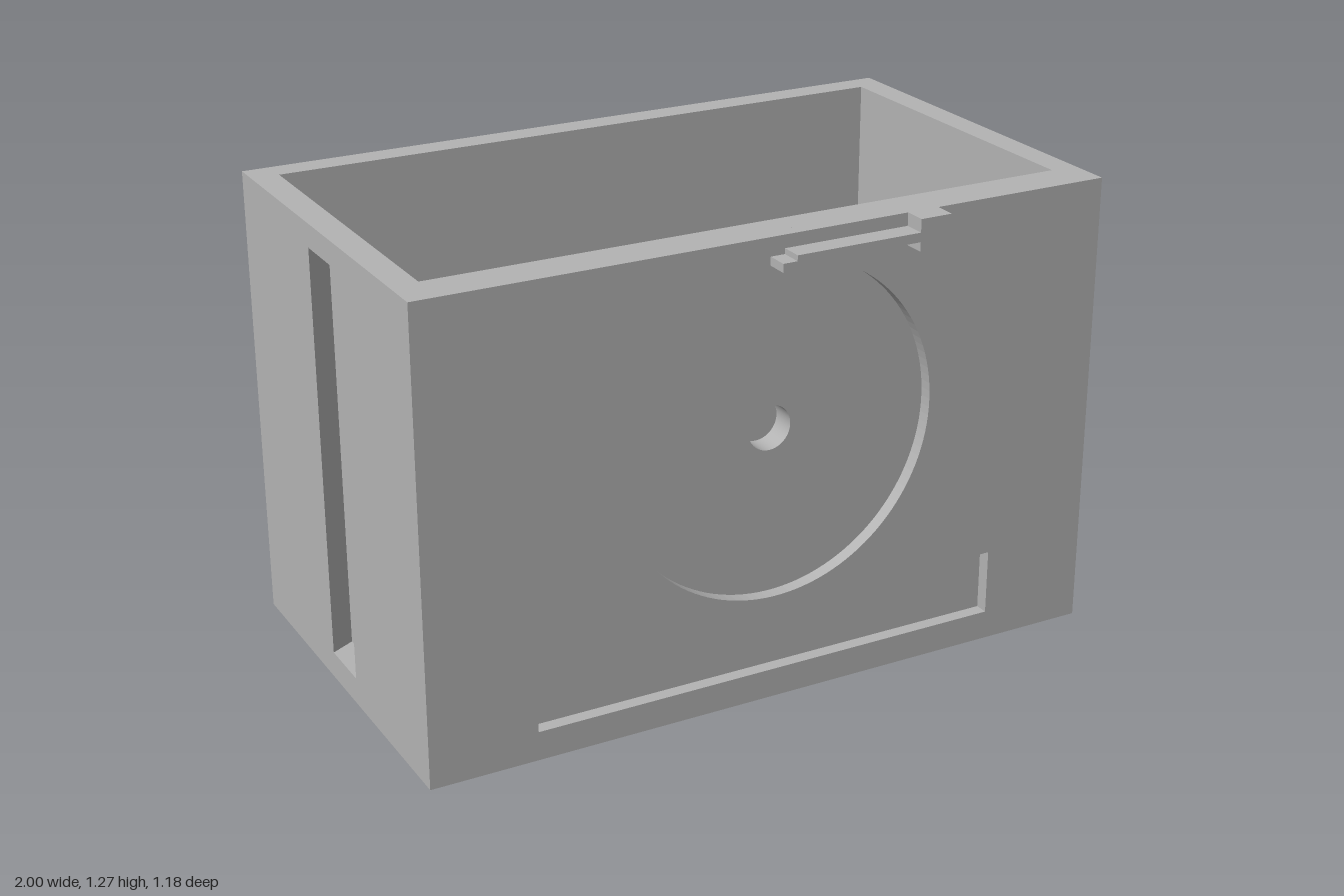
import * as THREE from 'three';

const grey = new THREE.MeshStandardMaterial({ color: 0xb3b3b3 });
grey.name = 'plain grey';

const shapeOf = (pts) => new THREE.Shape(pts.map(([x, y]) => new THREE.Vector2(x, y)));

// Closed outline in x and y, extruded from z0 to z1.
function extrudeZ(shape, z0, z1) {
  return new THREE.ExtrudeGeometry(shape, { depth: z1 - z0, bevelEnabled: false, curveSegments: 64 })
    .translate(0, 0, z0);
}

// Closed outline given as [x, z] points, extruded upwards from y0 to y1.
function extrudeY(pts, y0, y1) {
  return new THREE.ExtrudeGeometry(shapeOf(pts.map(([x, z]) => [x, -z])), { depth: y1 - y0, bevelEnabled: false })
    .rotateX(-Math.PI / 2).translate(0, y0, 0);
}

function box(x0, x1, y0, y1, z0, z1) {
  return new THREE.BoxGeometry(x1 - x0, y1 - y0, z1 - z0)
    .translate((x0 + x1) / 2, (y0 + y1) / 2, (z0 + z1) / 2);
}

const rect = (x0, x1, y0, y1) => [[x0, y0], [x1, y0], [x1, y1], [x0, y1]];

function circleHole(r) {
  return new THREE.Path().absarc(-0.03, 0.75, r, 0, Math.PI * 2, true);
}

export function createModel() {
  const group = new THREE.Group();
  const add = (name, geometry) => {
    const mesh = new THREE.Mesh(geometry, grey);
    mesh.name = name;
    group.add(mesh);
  };

  const X0 = -1, X1 = 0.94, H = 1.27, BACK = -0.59, FRONT = 0.53;
  const IN0 = -0.925, IN1 = 0.865, INBACK = -0.515, INFRONT = 0.415, FLOOR = 0.075;

  // Floor and the C-shaped back and side walls, with a dovetail groove in one side
  const walls = [[X0, BACK], [X1, BACK], [X1, INFRONT], [IN1, INFRONT],
    [IN1, INBACK], [IN0, INBACK], [IN0, INFRONT], [X0, INFRONT]];
  const groove = [[X0, 0.05], [-0.935, 0.09], [-0.935, -0.145], [X0, -0.11]];
  add('floor', box(X0, X1, 0, FLOOR, BACK, INFRONT));
  add('groovedWalls', extrudeY([...walls, ...groove], FLOOR, 1.205));
  add('wallRim', extrudeY(walls, 1.205, H));

  // Front wall in layers: solid, blind axle hole, disc and label recesses
  const outline = () => shapeOf(rect(X0, X1, 0, H));
  add('frontWallInner', box(X0, X1, 0, H, INFRONT, 0.425));
  const middle = outline();
  middle.holes.push(circleHole(0.061));
  add('frontWallMiddle', extrudeZ(middle, 0.425, 0.493));
  const face = outline();
  face.holes.push(circleHole(0.457), shapeOf(rect(-0.705, 0.64, 0.08, 0.26)));
  add('frontWallFace', extrudeZ(face, 0.493, FRONT));

  // Low ribs across the floor
  for (let i = 0; i < 4; i++) {
    const z = -0.388 + i * 0.15;
    add('floorRib', box(IN0, IN1, FLOOR, FLOOR + 0.05, z, z + 0.053));
  }

  // Dovetail tongue on the other side
  add('dovetailTongue', extrudeY([[X1, 0.045], [X1, -0.1], [1, -0.132], [1, 0.074]], 0.08, 1.195));

  // Spring clip above the disc recess: block, thin arm and tip in one outline
  add('clip', extrudeZ(shapeOf([[0.43, 1.185], [0.43, H], [0.34, H], [0.34, 1.235], [-0.015, 1.235],
    [-0.015, 1.22], [-0.055, 1.22], [-0.055, 1.197], [-0.012, 1.197], [-0.012, 1.21],
    [0.34, 1.21], [0.34, 1.185]]), FRONT, 0.59));

  return group;
}
